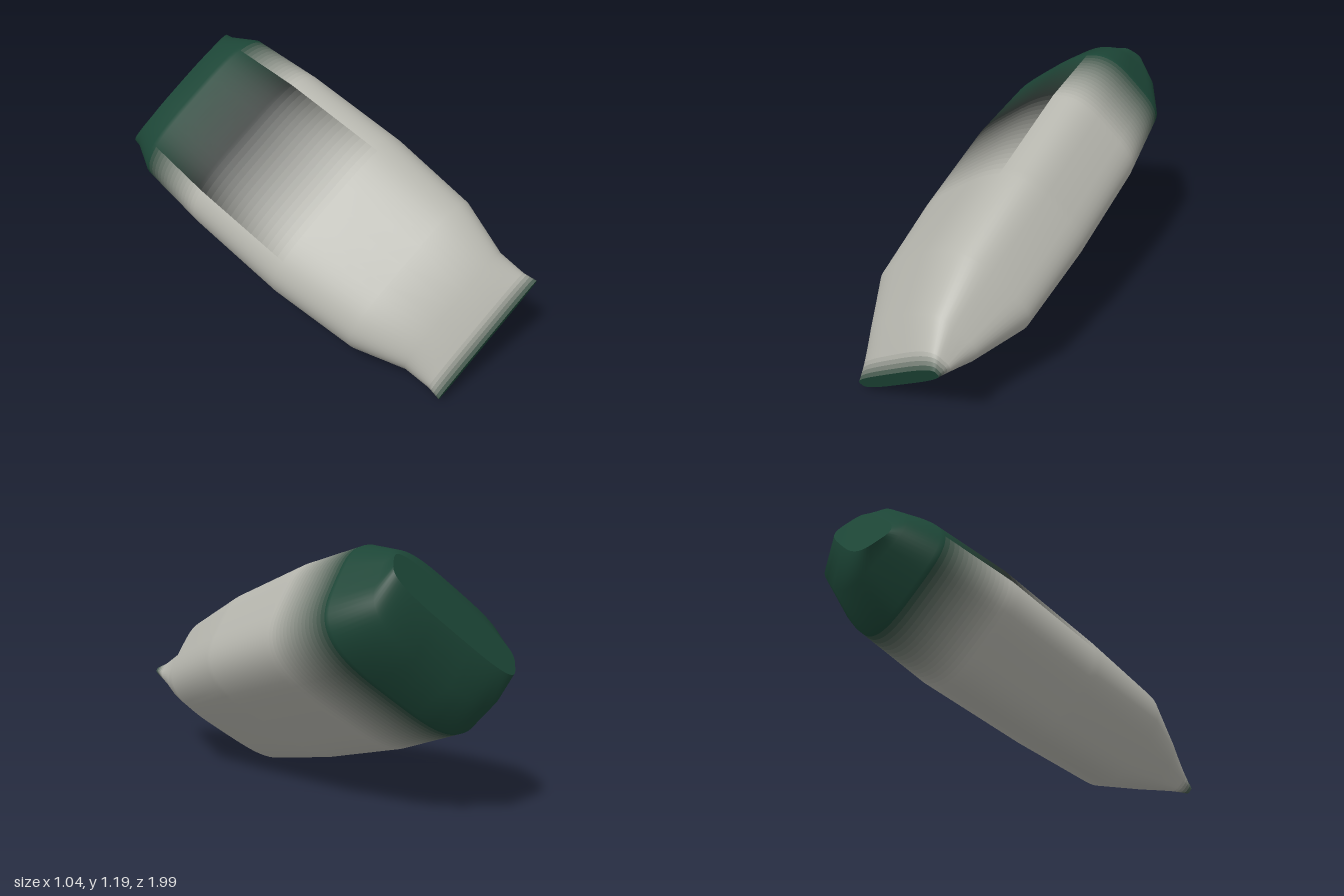
import * as THREE from 'three';

// Tilted frame of the body: width, thickness and long axis (towards the front)
const U = new THREE.Vector3(0.79, 0.605, 0.082).normalize();
const A = new THREE.Vector3(0.139, -0.309, 0.941).normalize();
const V = new THREE.Vector3().crossVectors(A, U);

const GREY = new THREE.Color(0xb6b6ae);
const GREEN = new THREE.Color(0x1c4536);
const DARK = new THREE.Color(0x262b29);

// Cross-sections: centre z, half width, half thickness, thickness shift, lean, bands up to the next one
const SECTIONS = [
  [0.965, 0.345, 0.035, 0, 0, 4],
  [0.905, 0.335, 0.08, 0, 0, 1],
  [0.78, 0.34, 0.165, 0, 0, 1],
  [0.545, 0.426, 0.272, 0, 0, 1],
  [0.13, 0.465, 0.298, 0, 0, 16],
  [-0.38, 0.464, 0.311, 0, 0, 16],
  [-0.735, 0.442, 0.283, 0, 0, 1],
  [-0.88, 0.375, 0.215, 0.02, 0.12, 1],
  [-0.927, 0.365, 0.1, 0.07, 0.37, 0],
];
const COUNT = 64;                         // points around a section
const PANEL_START = 10, PANEL_END = 22;   // columns of the upper panel
const POWER = 2 / 3.5;                    // squareness of the section

// Rounded-square section with gently bulging faces
function ring([z, w, h, shift, lean]) {
  const center = new THREE.Vector3(0.019 + 0.148 * z, 0.559 - 0.328 * z, z);
  const bulge = (value) => Math.sign(value) * Math.abs(value) ** POWER;
  return Array.from({ length: COUNT }, (_, j) => {
    const angle = j / COUNT * Math.PI * 2;
    const t = h * bulge(Math.sin(angle));
    return center.clone()
      .addScaledVector(U, w * bulge(Math.cos(angle)))
      .addScaledVector(V, t + shift)
      .addScaledVector(A, t * lean);
  });
}

// Colour fades along the length
const fade = (from, to, z, z0, z1) =>
  from.clone().lerp(to, THREE.MathUtils.clamp((z - z0) / (z1 - z0), 0, 1));
function shellColor(z) {
  return z > 0.8 ? fade(GREY, GREEN, z, 0.905, 0.965) : fade(GREY, GREEN, z, -0.38, -0.72);
}
function panelColor(z) {
  return z > -0.38 ? fade(GREY, DARK, z, 0.13, -0.38) : fade(DARK, GREEN, z, -0.38, -0.72);
}

function material(color) {
  const m = new THREE.MeshStandardMaterial();
  m.color.copy(color);
  return m;
}

// Flat end plate closing a section
function plate(name, points, facingFront) {
  const index = [];
  for (let j = 1; j < COUNT - 1; j++) index.push(0, ...(facingFront ? [j, j + 1] : [j + 1, j]));
  const geometry = new THREE.BufferGeometry().setFromPoints(points);
  geometry.setIndex(index);
  geometry.computeVertexNormals();
  const mesh = new THREE.Mesh(geometry, material(GREEN));
  mesh.name = name;
  return mesh;
}

export function createModel() {
  const group = new THREE.Group();
  group.name = 'taperedBody';

  // Subdivide the sections so the colours can fade in bands
  const rows = [];
  SECTIONS.forEach((s, i) => {
    for (let k = 0; k < s[5]; k++) {
      rows.push(s.map((value, c) => THREE.MathUtils.lerp(value, SECTIONS[i + 1][c], k / s[5])));
    }
  });
  rows.push(SECTIONS[SECTIONS.length - 1]);
  const rings = rows.map(ring);

  const quad = (i, j) => {
    const a = i * COUNT + j, b = i * COUNT + (j + 1) % COUNT;
    return [a + COUNT, b + COUNT, a, b + COUNT, b, a];
  };

  // Whole skin first, for continuous smooth normals
  const skin = new THREE.BufferGeometry().setFromPoints(rings.flat());
  const all = [];
  for (let i = 0; i < rows.length - 1; i++) {
    for (let j = 0; j < COUNT; j++) all.push(...quad(i, j));
  }
  skin.setIndex(all);
  skin.computeVertexNormals();

  // Merge neighbouring bands of equal colour into one part
  const parts = new Map();
  const add = (name, color, faces) => {
    const key = name + color.getHexString();
    if (!parts.has(key)) parts.set(key, { name, color, index: [] });
    parts.get(key).index.push(...faces);
  };
  for (let i = 0; i < rows.length - 1; i++) {
    const z = (rows[i][0] + rows[i + 1][0]) / 2;
    const isPanel = z < 0.13 && z > -0.735;
    for (let j = 0; j < COUNT; j++) {
      if (isPanel && j >= PANEL_START && j < PANEL_END) add('upperPanel', panelColor(z), quad(i, j));
      else add(z > 0.9 ? 'frontRim' : z < -0.38 ? 'rearShell' : 'shell', shellColor(z), quad(i, j));
    }
  }
  for (const { name, color, index } of parts.values()) {
    const geometry = new THREE.BufferGeometry();
    geometry.setAttribute('position', skin.getAttribute('position'));
    geometry.setAttribute('normal', skin.getAttribute('normal'));
    geometry.setIndex(index);
    const mesh = new THREE.Mesh(geometry, material(color));
    mesh.name = name;
    group.add(mesh);
  }

  // End plates
  group.add(plate('frontPlate', rings[0], true));
  group.add(plate('rearPlate', rings[rings.length - 1], false));
  return group;
}
